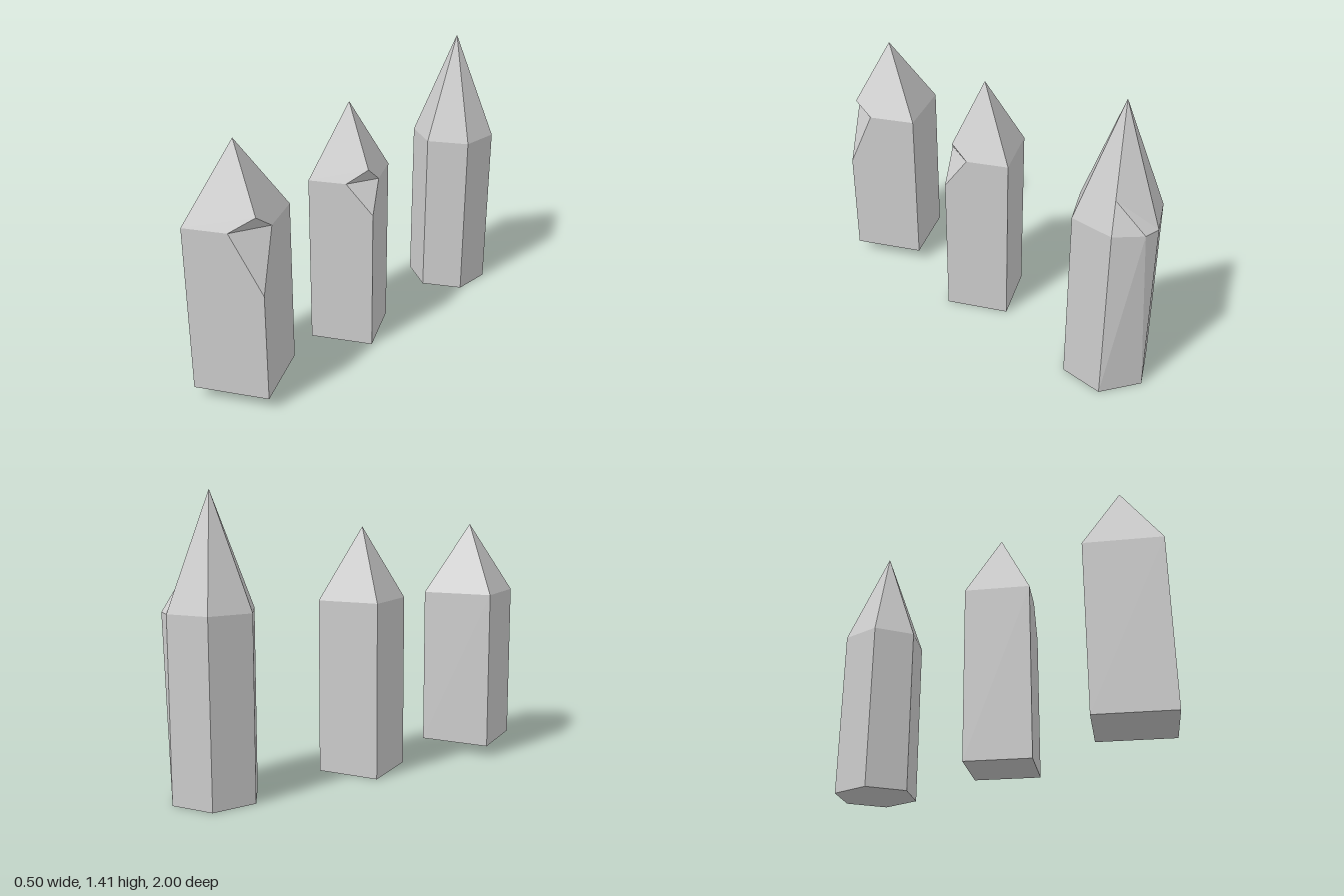
import * as THREE from 'three';

const material = new THREE.MeshStandardMaterial({ color: 0xcccccc, flatShading: true });
const vec = (x, y, z) => new THREE.Vector3(x, y, z);

// Flat-shaded mesh from convex faces, each fanned into triangles
function facetMesh(name, faces) {
  const points = [];
  for (const f of faces) {
    for (let k = 1; k < f.length - 1; k++) points.push(f[0], f[k], f[k + 1]);
  }
  const geometry = new THREE.BufferGeometry().setFromPoints(points);
  geometry.computeVertexNormals();
  const mesh = new THREE.Mesh(geometry, material);
  mesh.name = name;
  return mesh;
}

// Base ring, shoulder ring and tip of a pointed pillar, corners running from +x to +z
function pillarPoints({ sides, radius, turn, z, bottom, shoulder, tip }) {
  const ring = (y) => Array.from({ length: sides }, (_, i) => {
    const a = turn + (i / sides) * Math.PI * 2;
    return vec(radius * Math.cos(a), y, z + radius * Math.sin(a));
  });
  return { base: ring(bottom), top: ring(shoulder), apex: vec(0, tip, z) };
}

// Undamaged walls and roof facets, leaving out the listed sides
function plainFaces({ base, top, apex }, skipWalls, skipRoofs) {
  const faces = [base];
  base.forEach((_, i) => {
    const j = (i + 1) % base.length;
    if (!skipWalls.includes(i)) faces.push([base[j], base[i], top[i], top[j]]);
    if (!skipRoofs.includes(i)) faces.push([top[j], top[i], apex]);
  });
  return faces;
}

// Square pillar with a notch knocked out of its +x shoulder corner
function notchedPillar(name, radius, z, bottom, notchBottom) {
  const p = pillarPoints({ sides: 4, radius, turn: 0.284, z, bottom, shoulder: 0.87, tip: 1.23 });
  const { base, top, apex } = p;
  const a = top[0].clone().lerp(top[1], 0.415);
  const b = top[0].clone().lerp(top[3], 0.35);
  const c = apex.clone().lerp(top[0], 0.805);
  const d = base[0].clone().setY(notchBottom);
  return facetMesh(name, [
    ...plainFaces(p, [0, 3], [0, 3]),
    [base[1], base[0], d, a, top[1]],
    [base[0], base[3], top[3], b, d],
    [top[1], a, c, apex],
    [b, top[3], apex, c],
    [d, b, a],
    [a, b, c],
  ]);
}

// Six-sided pillar with one uneven, swollen shoulder at the back
function hexagonalPillar(name) {
  const p = pillarPoints({
    sides: 6, radius: 0.216, turn: Math.PI / 6, z: -0.784, bottom: 0, shoulder: 0.87, tip: 1.41,
  });
  const { base, top, apex } = p;
  const bulge = vec(0.08, 0.87, -0.99);
  const ridge = apex.clone().lerp(top[5], 0.73);
  return facetMesh(name, [
    ...plainFaces(p, [4], [4]),
    [base[5], base[4], bulge],
    [base[4], top[4], bulge],
    [base[5], bulge, top[5]],
    [bulge, top[4], ridge],
    [top[5], bulge, ridge],
    [ridge, top[4], apex],
  ]);
}

export function createModel() {
  const model = new THREE.Group();
  model.name = 'pointedPillars';
  model.add(
    notchedPillar('frontPillar', 0.258, 0.75, 0.06, 0.59),
    notchedPillar('middlePillar', 0.226, 0.04, 0, 0.72),
    hexagonalPillar('backPillar'),
  );
  return model;
}
